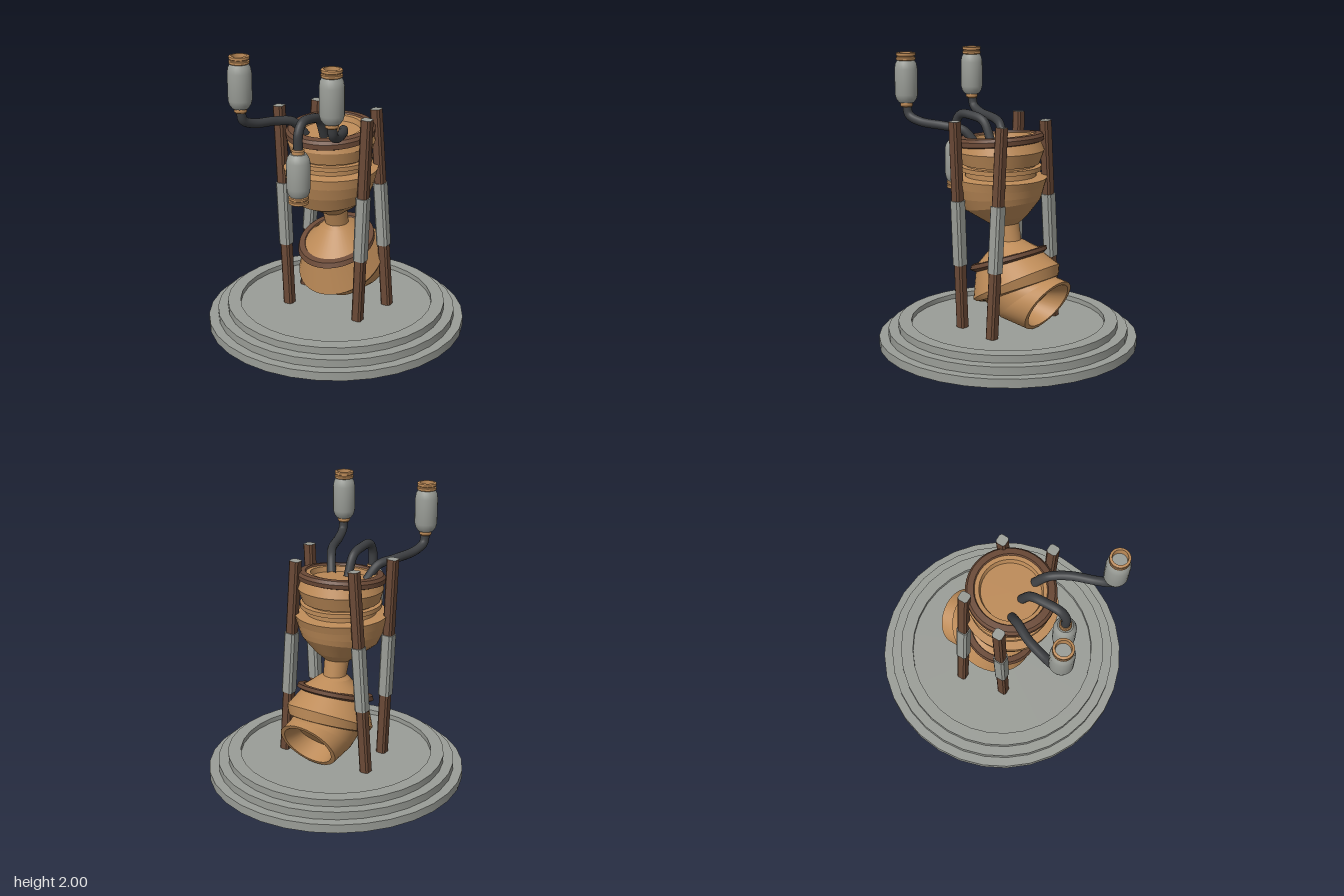
import * as THREE from 'three';
import { toCreasedNormals } from 'three/addons/utils/BufferGeometryUtils.js';

function material(name, color, side = THREE.FrontSide) {
  const m = new THREE.MeshStandardMaterial({ color, side });
  m.name = name;
  return m;
}

export function createModel() {
  const model = new THREE.Group();
  model.name = 'vesselOnStand';
  const tan = material('tan', 0xbd8b58, THREE.DoubleSide);
  const brown = material('brown', 0x6a4936, THREE.DoubleSide);
  const grey = material('grey', 0x9a9d97);
  const charcoal = material('charcoal', 0x3c3e41);

  function add(name, geometry, mat, parent = model) {
    const mesh = new THREE.Mesh(geometry, mat);
    mesh.name = name;
    parent.add(mesh);
    return mesh;
  }

  function lathe(points, segments) {
    const g = new THREE.LatheGeometry(points.map(([r, y]) => new THREE.Vector2(r, y)), segments);
    return toCreasedNormals(g, 0.6);
  }

  // Joins tilted rings, each given as [front z, front y, back z, back y, half width in x].
  // Every band has its own vertices so that edges between bands stay sharp.
  function loft(rings, n = 40) {
    const pos = [], index = [];
    const ring = ([zf, yf, zb, yb, rx]) => {
      for (let j = 0; j < n; j++) {
        const a = (j / n) * Math.PI * 2, c = Math.cos(a) / 2;
        pos.push(rx * Math.sin(a), (yf + yb) / 2 + (yf - yb) * c, (zf + zb) / 2 + (zf - zb) * c);
      }
    };
    for (let i = 0; i + 1 < rings.length; i++) {
      const base = i * 2 * n;
      ring(rings[i]);
      ring(rings[i + 1]);
      for (let j = 0; j < n; j++) {
        const k = (j + 1) % n;
        const a = base + j, b = base + n + j, c = base + n + k, d = base + k;
        index.push(a, b, c, a, c, d);
      }
    }
    const g = new THREE.BufferGeometry();
    g.setAttribute('position', new THREE.Float32BufferAttribute(pos, 3));
    g.setIndex(index);
    g.computeVertexNormals();
    return g;
  }

  // Stepped round base with a shallow recess
  add('base', lathe([[0, 0], [0.9, 0], [0.9, 0.06], [0.835, 0.06], [0.835, 0.115], [0.765, 0.115],
    [0.765, 0.165], [0.675, 0.165], [0.675, 0.13], [0, 0.13]], 32), grey);

  // Upper vessel: dished lid, stepped bands, bowl
  add('lid', loft([
    [0.07, 1.405, 0.07, 1.405, 0],
    [0.27, 1.385, -0.13, 1.425, 0.2],
    [0.28, 1.42, -0.14, 1.462, 0.21],
    [0.31, 1.42, -0.17, 1.465, 0.24],
  ]), tan);
  add('upperCollar', loft([
    [0.3, 1.415, -0.165, 1.46, 0.235],
    [0.31, 1.435, -0.175, 1.475, 0.245],
    [0.355, 1.425, -0.215, 1.475, 0.285],
    [0.372, 1.405, -0.23, 1.455, 0.3],
    [0.37, 1.37, -0.225, 1.425, 0.3],
    [0.33, 1.355, -0.19, 1.41, 0.26],
  ]), brown);
  add('upperVessel', loft([
    [0.345, 1.375, -0.205, 1.425, 0.275],
    [0.355, 1.34, -0.235, 1.355, 0.295],
    [0.335, 1.26, -0.2, 1.26, 0.268],
    [0.305, 1.255, -0.175, 1.255, 0.24],
    [0.305, 1.245, -0.175, 1.245, 0.24],
    [0.345, 1.245, -0.215, 1.245, 0.28],
    [0.345, 1.215, -0.215, 1.215, 0.28],
    [0.31, 1.21, -0.18, 1.21, 0.245],
    [0.31, 1.175, -0.18, 1.175, 0.245],
    [0.39, 1.165, -0.255, 1.165, 0.32],
    [0.38, 1.1, -0.235, 1.11, 0.308],
    [0.355, 1.02, -0.222, 1.06, 0.29],
    [0.31, 0.925, -0.21, 1.02, 0.26],
    [0.2, 0.875, -0.13, 0.905, 0.165],
    [0.1, 0.82, -0.075, 0.85, 0.085],
  ]), tan);

  // Waist and flared shoulder
  add('neck', loft([
    [0.1, 0.82, -0.075, 0.85, 0.085],
    [0.07, 0.73, -0.095, 0.735, 0.08],
    [0.09, 0.7, -0.125, 0.725, 0.11],
    [0.215, 0.53, -0.225, 0.69, 0.22],
  ]), tan);
  add('lowerCollar', loft([
    [0.205, 0.525, -0.215, 0.685, 0.21],
    [0.215, 0.54, -0.225, 0.7, 0.22],
    [0.25, 0.525, -0.265, 0.71, 0.26],
    [0.26, 0.49, -0.272, 0.685, 0.268],
    [0.22, 0.475, -0.24, 0.655, 0.23],
  ]), brown);

  // Lower chamber bending back into an open nozzle
  add('lowerChamber', loft([
    [0.22, 0.485, -0.245, 0.665, 0.23],
    [0.22, 0.275, -0.37, 0.6, 0.3],
    [0.2, 0.27, -0.37, 0.52, 0.28],
    [0.14, 0.27, -0.365, 0.515, 0.225],
  ]), tan);
  add('nozzle', loft([
    [0.14, 0.27, -0.365, 0.515, 0.225],
    [0, 0.175, -0.4, 0.515, 0.215],
    [-0.245, 0.14, -0.46, 0.505, 0.21],
    [-0.262, 0.165, -0.448, 0.482, 0.18],
    [-0.12, 0.225, -0.32, 0.44, 0.14],
    [-0.22, 0.332, -0.22, 0.332, 0],
  ]), tan);

  // Chamfered square bar standing on y = 0
  function bar(half, length) {
    const c = half * 0.35, h = half - c;
    const shape = new THREE.Shape([[half, -h], [half, h], [h, half], [-h, half],
      [-half, h], [-half, -h], [-h, -half], [h, -half]].map(([x, y]) => new THREE.Vector2(x, y)));
    return new THREE.ExtrudeGeometry(shape, { depth: length, bevelEnabled: false }).rotateX(-Math.PI / 2);
  }

  // Four leaning legs: front pair lean out, back pair lean in
  const legs = [
    { name: 'frontLeg', x0: 0.275, x1: 0.335, z: 0.18, top: 1.57 },
    { name: 'backLeg', x0: 0.335, x1: 0.23, z: -0.14, top: 1.55 },
  ];
  for (const { name, x0, x1, z, top } of legs) {
    for (const s of [-1, 1]) {
      const leg = new THREE.Group();
      leg.name = (s > 0 ? 'left ' : 'right ') + name;
      leg.position.set(s * x0, 0.13, z);
      leg.rotation.z = -s * Math.atan2(x1 - x0, top - 0.13);
      add('legPost', bar(0.035, top - 0.13), [grey, brown], leg);
      add('legSleeve', bar(0.042, 0.45), grey, leg).position.y = 0.45;
      model.add(leg);
    }
  }

  // Canister with a ribbed open mouth, neck at its own y = 0
  function canister(name, x, y, z, flipped) {
    const g = new THREE.Group();
    g.name = name;
    add('canisterShell', lathe([[0, 0.03], [0.052, 0.03], [0.07, 0.055], [0.078, 0.085], [0.078, 0.26],
      [0.072, 0.295], [0.058, 0.32], [0, 0.32]], 24), grey, g);
    add('canisterNeck', lathe([[0, 0], [0.036, 0], [0.042, 0.008], [0.042, 0.035], [0, 0.035]], 24), tan, g);
    add('canisterMouth', lathe([[0.058, 0.315], [0.066, 0.322], [0.066, 0.336], [0.059, 0.34], [0.059, 0.346],
      [0.066, 0.35], [0.066, 0.366], [0.06, 0.37], [0.05, 0.37], [0.048, 0.32]], 24), tan, g);
    g.position.set(x, y, z);
    if (flipped) g.rotation.x = Math.PI;
    model.add(g);
  }

  function hose(name, points) {
    const curve = new THREE.CatmullRomCurve3(points.map((p) => new THREE.Vector3(...p)));
    add(name, new THREE.TubeGeometry(curve, 40, 0.031, 14), charcoal);
  }

  // Two raised side canisters and one hanging at the front
  for (const s of [-1, 1]) {
    const side = s > 0 ? 'left' : 'right';
    canister(side + 'Canister', s * 0.335, 1.63, 0.625, false);
    hose(side + 'Hose', [[s * 0.335, 1.64, 0.622], [s * 0.332, 1.575, 0.605], [s * 0.31, 1.535, 0.52],
      [s * 0.255, 1.515, 0.35], [s * 0.19, 1.49, 0.235], [s * 0.14, 1.39, 0.16]]);
  }
  canister('frontCanister', 0, 1.4, 0.48, true);
  hose('frontHose', [[0, 1.39, 0.48], [0, 1.5, 0.475], [0, 1.56, 0.43], [0, 1.562, 0.33],
    [0, 1.53, 0.22], [0, 1.39, 0.15]]);

  return model;
}
